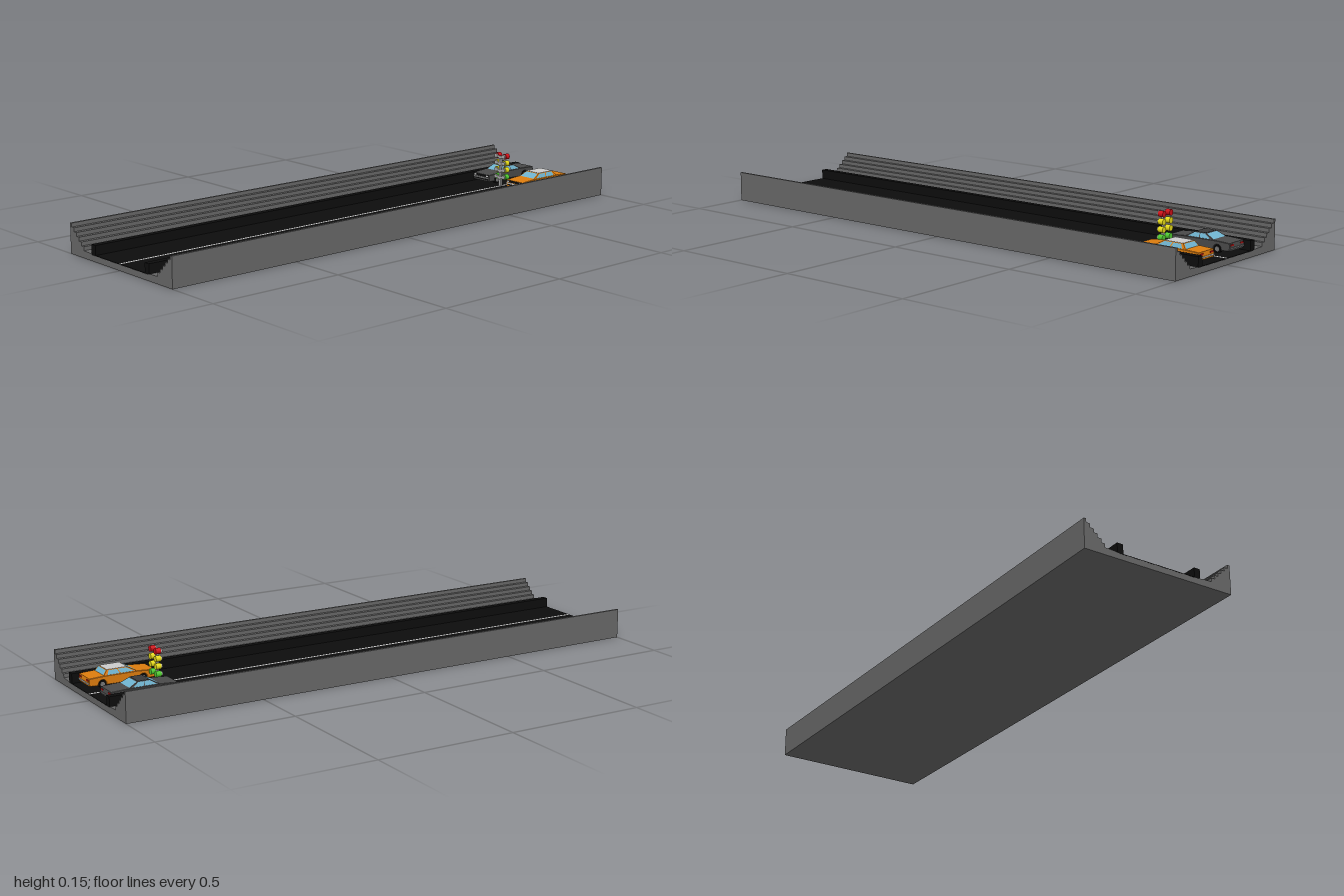
import * as THREE from 'three';

const ROAD_Y = 0.0225;
const mat = (color, flat = false, side = THREE.FrontSide) => new THREE.MeshStandardMaterial({ color, flatShading: flat, side });
const GREY = mat(0x686868, true), BLACK = mat(0x0d0d0d, true), WHITE = mat(0xcccccc, true);
const STEEL = mat(0xaaaaaa), GLASS = mat(0x6fb3cf, true, THREE.DoubleSide), TYRE = mat(0x0a0a0a), HUB = mat(0x777777);

function add(parent, name, geo, material, x = 0, y = 0, z = 0) {
  const m = new THREE.Mesh(geo, material);
  m.name = name;
  m.position.set(x, y, z);
  parent.add(m);
  return m;
}
const box = (w, h, d) => new THREE.BoxGeometry(w, h, d);

// Stepped stand: cross-section in x/y swept along the whole strip
function stand(side) {
  const pts = [[0.29, 0], [0.29, 0.107]];
  const edges = [0.281, 0.267, 0.253, 0.239, 0.225, 0.211];
  edges.forEach((x, i) => pts.push([x, 0.107 - i * 0.0136], [x, 0.107 - (i + 1) * 0.0136]));
  pts.push([0.18, 0.0245], [0.16, 0.0225], [0.16, 0]);
  const shape = new THREE.Shape(pts.map(([x, y]) => new THREE.Vector2(x * side, y)));
  return new THREE.ExtrudeGeometry(shape, { depth: 2, bevelEnabled: false }).translate(0, 0, -1);
}

// Side profile of a car body with wheel arches, swept across its width
function carBody(width) {
  const s = new THREE.Shape();
  s.moveTo(-0.119, 0.013);
  for (const z of [-0.073, 0.077]) {
    s.lineTo(z - 0.0165, 0.011);
    s.absarc(z, 0.0135, 0.0165, Math.PI, 0, true);
    s.lineTo(z + 0.0165, 0.011);
  }
  s.lineTo(0.119, 0.012);
  s.lineTo(0.121, 0.024);
  s.lineTo(0.119, 0.0345);
  s.lineTo(0.06, 0.039);
  s.lineTo(-0.066, 0.0395);
  s.lineTo(-0.119, 0.037);
  s.lineTo(-0.121, 0.026);
  const b = 0.0015;
  return new THREE.ExtrudeGeometry(s, { depth: width - 2 * b, bevelThickness: b, bevelSize: b, bevelSegments: 1, curveSegments: 10 })
    .translate(0, 0, b - width / 2).rotateY(-Math.PI / 2);
}

// Box whose top and bottom have their own z range and half width
function cabinCorners(c) {
  return (sx, front, top) => new THREE.Vector3(
    sx * (top ? 0.032 : 0.0395), top ? 0.0575 : 0.039,
    front ? (top ? 0.0225 : 0.0575) : (top ? c.roofRear : c.baseRear));
}
function cabinGeometry(corner) {
  const g = box(1, 1, 1), p = g.attributes.position;
  for (let i = 0; i < p.count; i++) {
    const v = corner(Math.sign(p.getX(i)), p.getZ(i) > 0, p.getY(i) > 0);
    p.setXYZ(i, v.x, v.y, v.z);
  }
  g.computeVertexNormals();
  return g;
}

// Flat pane inset within four corners: lower a, lower b, upper b, upper a
function pane(a, b, c, d, u0 = 0.06, u1 = 0.94) {
  const at = (u, v) => a.clone().lerp(b, u).lerp(d.clone().lerp(c, u), v);
  const pts = [at(u0, 0.12), at(u1, 0.12), at(u1, 0.9), at(u0, 0.9)];
  const n = b.clone().sub(a).cross(d.clone().sub(a)).normalize().multiplyScalar(0.0006);
  const g = new THREE.BufferGeometry().setFromPoints(pts.map(p => p.add(n)));
  g.setIndex([0, 1, 2, 0, 2, 3]);
  g.computeVertexNormals();
  return g;
}

function car(name, c) {
  const g = new THREE.Group();
  g.name = name;
  const paint = mat(c.color, true);
  add(g, 'body', carBody(0.085), paint);
  add(g, 'underside', box(0.056, 0.02, 0.22), BLACK, 0, 0.02, 0);

  // Cabin, roof and windows
  const k = cabinCorners(c);
  add(g, 'cabin', cabinGeometry(k), paint);
  add(g, 'roof', box(0.063, 0.0014, 0.0225 - c.roofRear), mat(c.roof, true), 0, 0.0578, (0.0225 + c.roofRear) / 2);
  add(g, 'windshield', pane(k(-1, 1, 0), k(1, 1, 0), k(1, 1, 1), k(-1, 1, 1)), GLASS);
  add(g, 'rearWindow', pane(k(1, 0, 0), k(-1, 0, 0), k(-1, 0, 1), k(1, 0, 1)), GLASS);
  for (const [u0, u1] of [[0.08, 0.48], [0.52, 0.9]]) {
    add(g, 'leftWindow', pane(k(1, 1, 0), k(1, 0, 0), k(1, 0, 1), k(1, 1, 1), u0, u1), GLASS);
    add(g, 'rightWindow', pane(k(-1, 0, 0), k(-1, 1, 0), k(-1, 1, 1), k(-1, 0, 1), 1 - u1, 1 - u0), GLASS);
  }

  // Grille, bumpers and lamps
  add(g, 'grille', box(0.078, 0.0075, 0.002), BLACK, 0, 0.031, 0.1215);
  add(g, 'frontBumper', box(0.083, 0.0045, 0.004), c.bumper, 0, 0.0235, 0.122);
  add(g, 'frontIntake', box(0.07, 0.004, 0.002), BLACK, 0, 0.018, 0.1215);
  add(g, 'rearBumper', box(0.083, 0.0045, 0.004), c.bumper, 0, 0.02, -0.122);
  for (const s of [-1, 1]) {
    add(g, 'headlight', box(0.011, 0.005, 0.002), WHITE, s * 0.032, 0.031, 0.1222);
    add(g, 'tailLight', box(0.018, 0.006, 0.002), mat(0xa01010, true), s * 0.029, 0.031, -0.122);
    for (const z of [-0.073, 0.077]) {
      add(g, 'tyre', new THREE.CylinderGeometry(0.0138, 0.0138, 0.013, 24).rotateZ(Math.PI / 2), TYRE, s * 0.0355, 0.0138, z);
      add(g, 'hub', new THREE.CylinderGeometry(0.008, 0.008, 0.001, 16).rotateZ(Math.PI / 2), HUB, s * 0.0422, 0.0138, z);
    }
  }
  g.position.set(c.x, ROAD_Y - 0.001, -0.8575);
  return g;
}

// Bracket: two discs joined to the pole by drooping arms
function bracketArm(side) {
  const arm = new THREE.Shape([[0, -0.011], [0.008, -0.006], [0.02, -0.0065], [0.02, 0.0055], [0.009, 0.002], [0, 0.002]]
    .map(([x, y]) => new THREE.Vector2(x * side, y)));
  return new THREE.ExtrudeGeometry(arm, { depth: 0.005, bevelEnabled: false });
}

function startingLights() {
  const g = new THREE.Group();
  g.name = 'startingLights';
  add(g, 'pole', box(0.011, 0.117, 0.007), STEEL, 0, ROAD_Y + 0.0575, 0);
  [[0.14, 0xd01018], [0.1135, 0xe8dc18], [0.087, 0xe8dc18], [0.06, 0x50cc30]].forEach(([y, color]) => {
    const lamp = mat(color);
    for (const s of [-1, 1]) {
      add(g, 'bracketArm', bracketArm(s), STEEL, 0, y, 0.001);
      add(g, 'lampMount', new THREE.CylinderGeometry(0.0075, 0.0075, 0.005, 20).rotateX(Math.PI / 2), STEEL, s * 0.02, y, 0.004);
      add(g, 'lamp', new THREE.CylinderGeometry(0.0105, 0.0105, 0.019, 24).rotateX(Math.PI / 2), lamp, s * 0.02, y, -0.0085);
    }
  });
  g.position.z = -0.748;
  return g;
}

export function createModel() {
  const model = new THREE.Group();
  model.name = 'dragStrip';

  // Ground slab, road surface and centre line
  add(model, 'base', box(0.34, 0.0205, 2), GREY, 0, 0.01025, 0);
  add(model, 'road', box(0.326, 0.002, 2), BLACK, 0, 0.0218, 0);
  add(model, 'centreLine', box(0.009, 0.0008, 2), WHITE, 0, 0.023, 0);

  // Barriers and stands on both sides
  for (const s of [-1, 1]) {
    add(model, 'barrier', box(0.023, 0.036, 2), BLACK, s * 0.1525, 0.039, 0);
    add(model, s > 0 ? 'leftStand' : 'rightStand', stand(s), GREY);
  }

  model.add(startingLights());
  model.add(car('orangeCar', { x: 0.0865, color: 0xdd7d0e, roof: 0xc4c4c4, bumper: WHITE, roofRear: -0.0525, baseRear: -0.0675 }));
  model.add(car('greyCar', { x: -0.0905, color: 0x4a4a4a, roof: 0x3a3a3a, bumper: HUB, roofRear: -0.0205, baseRear: -0.0575 }));
  return model;
}
